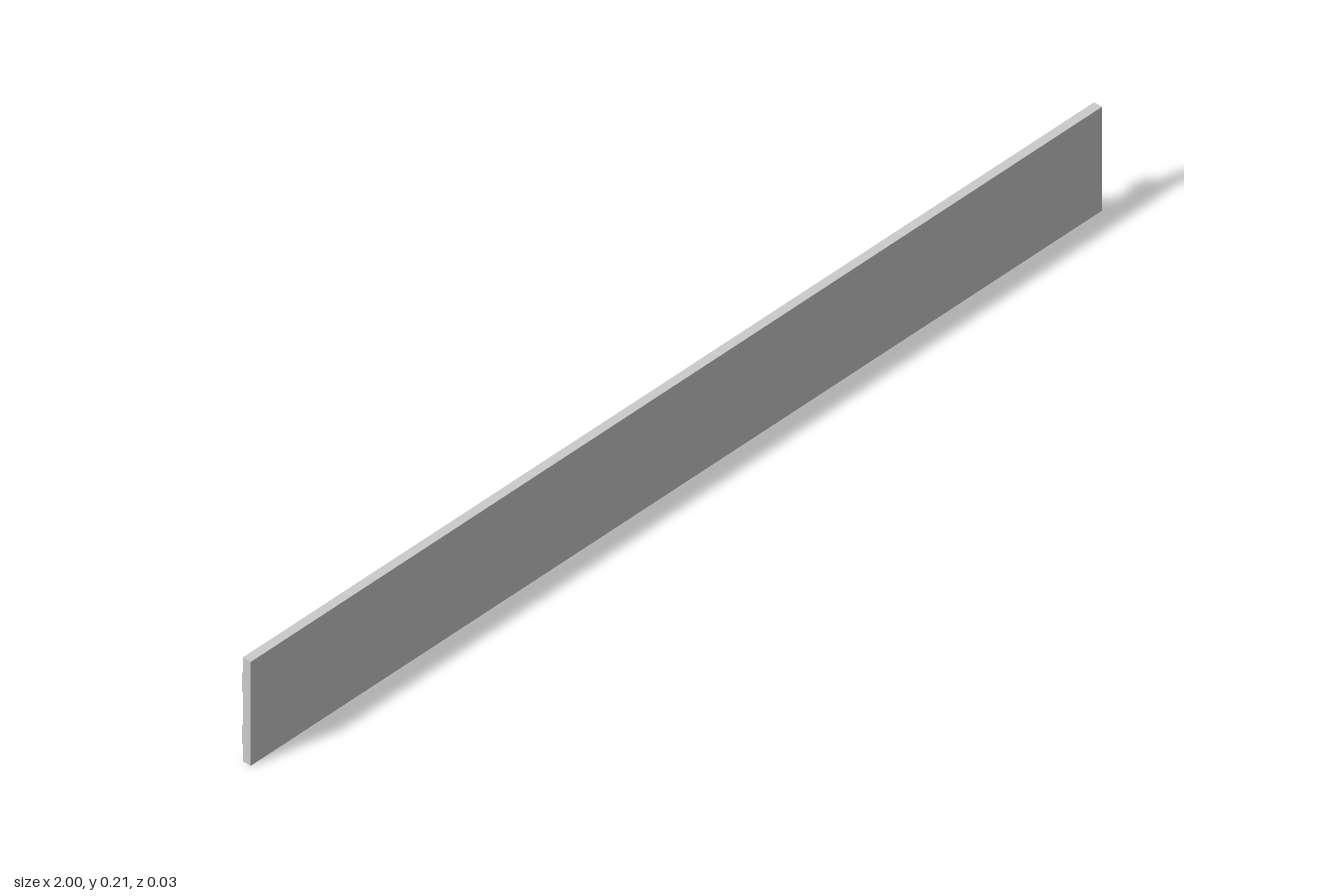
import * as THREE from 'three';

const HEIGHT = 0.212, FRONT = 0.0175, RECESS = 0.005;
const material = new THREE.MeshStandardMaterial({ color: 0xcccccc, flatShading: true });

function addMesh(parent, name, geometry, x = 0, y = 0, z = 0) {
  const mesh = new THREE.Mesh(geometry, material);
  mesh.name = name;
  mesh.position.set(x, y, z);
  parent.add(mesh);
  return mesh;
}

// Rectangle with cut, slightly softened corners
function trace(path, x0, y0, x1, y1, c) {
  const corners = [[x0, y0, 1, 1], [x1, y0, -1, 1], [x1, y1, -1, -1], [x0, y1, 1, -1]];
  corners.forEach(([x, y, sx, sy], i) => {
    const alongX = [x + sx * c, y], alongY = [x, y + sy * c];
    const mid = [x + sx * c * 0.4, y + sy * c * 0.4];
    const pts = i % 2 ? [alongX, mid, alongY] : [alongY, mid, alongX];
    pts.forEach(([px, py], k) => (i || k ? path.lineTo(px, py) : path.moveTo(px, py)));
  });
  path.closePath();
  return path;
}

const extrude = (shape, depth) =>
  new THREE.ExtrudeGeometry(shape, { depth, bevelEnabled: false });

// Clip: hooked strap with a narrow web filling its inside
function createClip(x, y) {
  const clip = new THREE.Group();
  clip.name = 'clip';
  clip.position.set(x, y, 0);
  const strap = new THREE.Shape();
  [[-0.002, 0.04], [0.0145, 0.04], [0.017, 0.0375], [0.017, 0], [0.0125, 0],
    [0.0125, 0.032], [-0.002, 0.032]].forEach(([d, h], i) =>
    (i ? strap.lineTo(d, h) : strap.moveTo(d, h)));
  const geometry = extrude(strap, 0.02);
  geometry.rotateY(Math.PI / 2);
  addMesh(clip, 'clipStrap', geometry, -0.01);
  addMesh(clip, 'clipWeb', new THREE.BoxGeometry(0.009, 0.031, 0.0145), 0, 0.0175, -0.0055);
  return clip;
}

export function createModel() {
  const model = new THREE.Group();
  model.name = 'panel';

  // Front slab
  const thickness = FRONT - RECESS;
  addMesh(model, 'frontSlab', new THREE.BoxGeometry(2, HEIGHT, thickness),
    0, HEIGHT / 2, RECESS + thickness / 2);

  // Back layer with four shallow recesses
  const back = new THREE.Shape();
  back.moveTo(-1, 0).lineTo(1, 0).lineTo(1, HEIGHT).lineTo(-1, HEIGHT).closePath();
  for (const [x0, x1] of [[-0.945, -0.63], [-0.585, -0.085], [-0.04, 0.58], [0.635, 0.945]]) {
    back.holes.push(trace(new THREE.Path(), x0, 0.021, x1, HEIGHT - 0.021, 0.032));
  }
  addMesh(model, 'backFrame', extrude(back, RECESS));

  // Blank raised plates inside three of the recesses
  const plate = extrude(trace(new THREE.Shape(), -0.037, -0.056, 0.037, 0.056, 0.02), 0.004);
  for (const x of [-0.73, 0.068, 0.735]) {
    addMesh(model, 'raisedPlate', plate, x, HEIGHT / 2, RECESS - 0.0035);
  }

  // Two rows of clips
  for (const x of [-0.974, -0.61, -0.063, 0.607, 0.972]) {
    for (const y of [0.018, 0.124]) model.add(createClip(x, y));
  }
  return model;
}
